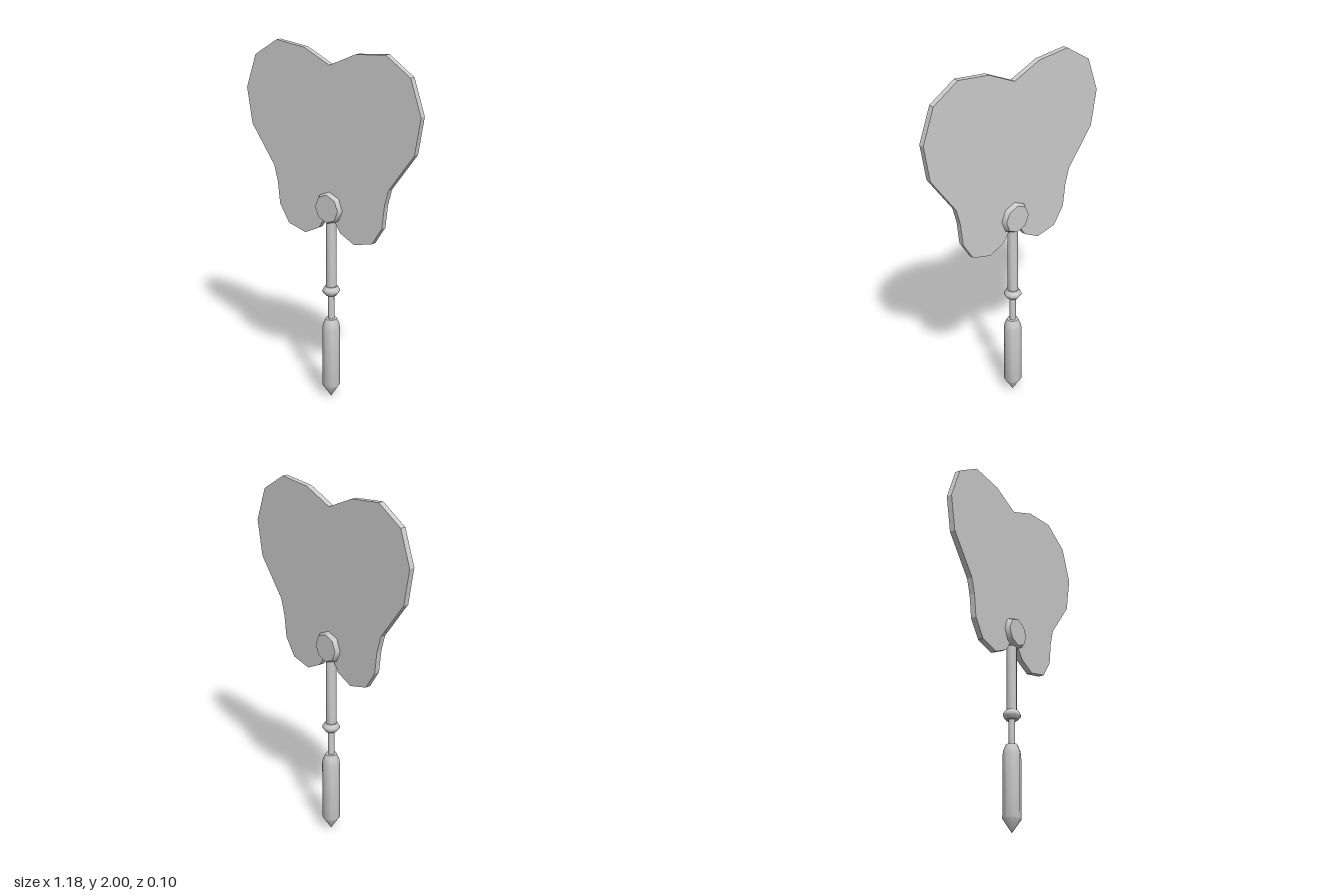
import * as THREE from 'three';
import { toCreasedNormals } from 'three/addons/utils/BufferGeometryUtils.js';

export function createModel() {
  const group = new THREE.Group();
  const grey = new THREE.MeshStandardMaterial({ color: 0xcccccc });
  grey.name = 'plain grey';

  const add = (name, geometry) => {
    const mesh = new THREE.Mesh(geometry, grey);
    mesh.name = name;
    group.add(mesh);
    return mesh;
  };

  // Eight-sided turned part from [radius, height] pairs, bottom to top
  const turned = (profile) => toCreasedNormals(
    new THREE.LatheGeometry(profile.map(([r, y]) => new THREE.Vector2(r, y)), 8), 0.9);

  // Fan leaf: half outline from the top notch down to the rivet, mirrored
  const half = [
    [0.17, 1.98], [0.365, 2], [0.52, 1.903], [0.588, 1.713], [0.553, 1.512],
    [0.395, 1.3], [0.37, 1.21], [0.355, 1.083], [0.29, 0.983], [0.17, 0.953],
    [0.074, 1.0], [0.042, 1.05],
  ];
  const mirrored = half.map(([x, y]) => [-x, y]).reverse();
  const outline = [[0, 1.905], ...half, [0, 1.09], ...mirrored];
  const leaf = new THREE.ExtrudeGeometry(
    new THREE.Shape(outline.map(([x, y]) => new THREE.Vector2(x, y))),
    { depth: 0.032, bevelEnabled: false });
  leaf.translate(0, 0, -0.016);
  add('fanLeaf', leaf);

  // Bevelled hub through the leaf
  const hub = turned([
    [0, -0.042], [0.078, -0.042], [0.09, -0.018],
    [0.09, 0.018], [0.078, 0.042], [0, 0.042],
  ]);
  hub.rotateX(Math.PI / 2);
  add('hub', hub).position.y = 1.127;

  // Stem, collar, neck and grip
  add('stem', turned([[0, 0.66], [0.029, 0.66], [0.029, 1.07], [0, 1.07]]));
  add('collar', turned([
    [0, 0.62], [0.033, 0.62], [0.049, 0.64], [0.049, 0.652], [0.036, 0.672], [0, 0.672],
  ]));
  add('neck', turned([[0, 0.46], [0.018, 0.46], [0.018, 0.63], [0, 0.63]]));
  add('grip', turned([
    [0, 0], [0.05, 0.073], [0.05, 0.42], [0.046, 0.445], [0.033, 0.478], [0, 0.48],
  ]));

  return group;
}
